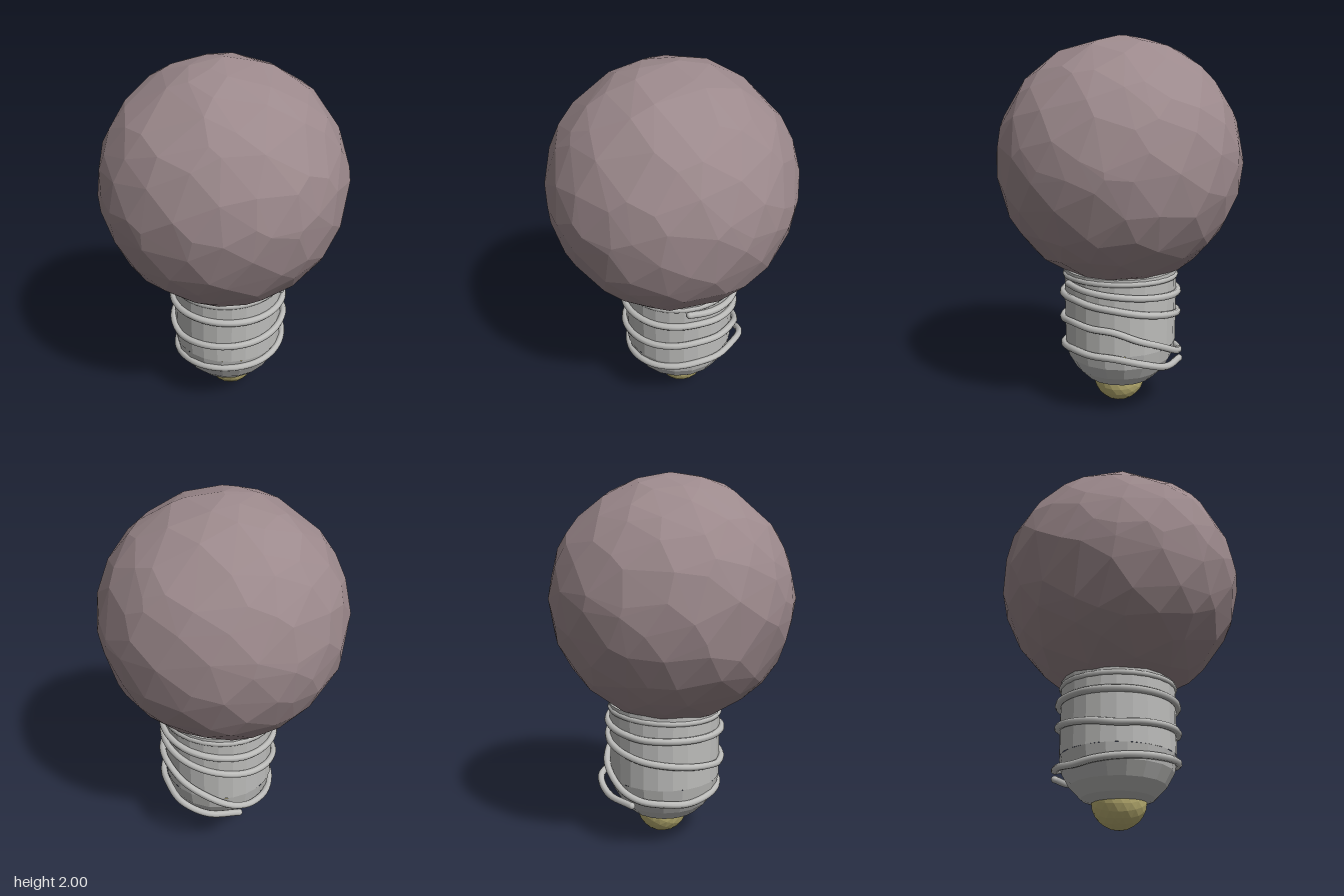
import * as THREE from 'three';
import { ConvexGeometry } from 'three/addons/geometries/ConvexGeometry.js';

const mat = (name, color, extra = {}) => {
  const m = new THREE.MeshStandardMaterial({ color, ...extra });
  m.name = name;
  return m;
};

// Small seeded random generator
function seeded(seed) {
  return () => {
    seed = (seed * 16807) % 2147483647;
    return seed / 2147483647;
  };
}

// Irregularly faceted ball: hull of jittered points spread over a sphere
function facetedBall(radius, count, jitter, seed) {
  const rand = seeded(seed);
  const points = [];
  for (let i = 0; i < count; i++) {
    const y = 1 - (2 * (i + 0.5)) / count;
    const r = Math.sqrt(1 - y * y);
    const a = i * Math.PI * (3 - Math.sqrt(5));
    const p = new THREE.Vector3(r * Math.cos(a), y, r * Math.sin(a));
    p.x += (rand() - 0.5) * jitter;
    p.y += (rand() - 0.5) * jitter;
    p.z += (rand() - 0.5) * jitter;
    points.push(p.setLength(radius * (1 - rand() * 0.008)));
  }
  for (const s of [-1, 1]) {
    points.push(new THREE.Vector3(s * radius, 0, 0), new THREE.Vector3(0, s * radius, 0),
      new THREE.Vector3(0, 0, s * radius));
  }
  return new ConvexGeometry(points);
}

export function createModel() {
  const model = new THREE.Group();
  model.name = 'lightBulb';
  const glass = mat('mauveGlass', 0x9c898c, { flatShading: true });
  const metal = mat('greyMetal', 0xbcbcba, { flatShading: true });
  const wire = mat('wireMetal', 0xbcbcba);
  const brass = mat('brass', 0xbfb475, { flatShading: true });

  const add = (name, geometry, material, x, y, z) => {
    const mesh = new THREE.Mesh(geometry, material);
    mesh.name = name;
    mesh.position.set(x, y, z);
    model.add(mesh);
    return mesh;
  };

  // Glass globe
  add('globe', facetedBall(0.66, 190, 0.17, 77), glass, 0, 1.34, 0);

  // Screw base: straight sleeve over a rounded, faceted underside
  const cx = 0.038, cz = -0.01;
  const sleeve = [[0.305, 0.36], [0.307, 0.775], [0, 0.785]];
  const dome = [[0, 0.12], [0.12, 0.125], [0.19, 0.15], [0.25, 0.21], [0.29, 0.28], [0.305, 0.36]];
  const lathe = (pts, n) => new THREE.LatheGeometry(pts.map(p => new THREE.Vector2(...p)), n);
  add('sleeve', lathe(sleeve, 24), metal, cx, 0, cz);
  add('baseDome', lathe(dome, 18), metal, cx, 0, cz);

  // Brass contact at the bottom
  add('contact', new THREE.IcosahedronGeometry(0.143, 3), brass, 0.055, 0.143, -0.005);

  // Wire wound loosely round the base: [degrees, height, radius]
  const turns = [
    [55, 0.715, 0.315], [0, 0.69, 0.315], [-90, 0.64, 0.315], [-180, 0.63, 0.315],
    [-270, 0.63, 0.315], [-315, 0.64, 0.315], [-360, 0.615, 0.315], [-450, 0.52, 0.315],
    [-540, 0.455, 0.315], [-630, 0.485, 0.315], [-675, 0.515, 0.32], [-720, 0.5, 0.325],
    [-765, 0.40, 0.325], [-790, 0.335, 0.33], [-810, 0.3, 0.325], [-855, 0.275, 0.3],
    [-900, 0.295, 0.295], [-945, 0.31, 0.3], [-990, 0.33, 0.312], [-1035, 0.36, 0.315],
    [-1080, 0.36, 0.33], [-1105, 0.335, 0.36], [-1130, 0.285, 0.345], [-1160, 0.27, 0.335],
  ];
  const path = [];
  for (let i = 0; i < turns.length - 1; i++) {
    // Interpolate in polar form so the wire hugs the sleeve
    const [a, b] = [turns[i], turns[i + 1]];
    const steps = Math.max(1, Math.round((a[0] - b[0]) / 22));
    for (let k = 0; k < steps; k++) path.push(a.map((v, j) => v + ((b[j] - v) * k) / steps));
  }
  path.push(turns[turns.length - 1]);
  const points = path.map(([deg, y, r]) => {
    const t = THREE.MathUtils.degToRad(deg);
    return new THREE.Vector3(r * Math.cos(t), y, r * Math.sin(t));
  });
  const curve = new THREE.CatmullRomCurve3(points);
  add('coilWire', new THREE.TubeGeometry(curve, 240, 0.019, 8), wire, cx, 0, cz);

  // Rounded wire ends
  for (const p of [points[0], points[points.length - 1]]) {
    add('wireEnd', new THREE.SphereGeometry(0.019, 10, 8), wire, cx + p.x, p.y, cz + p.z);
  }

  // Half-sunk wire ring under the globe
  const ring = add('topRing', new THREE.TorusGeometry(0.3, 0.016, 8, 48), wire, cx, 0.735, cz);
  ring.rotation.set(Math.PI / 2, 0.05, 0);

  return model;
}
